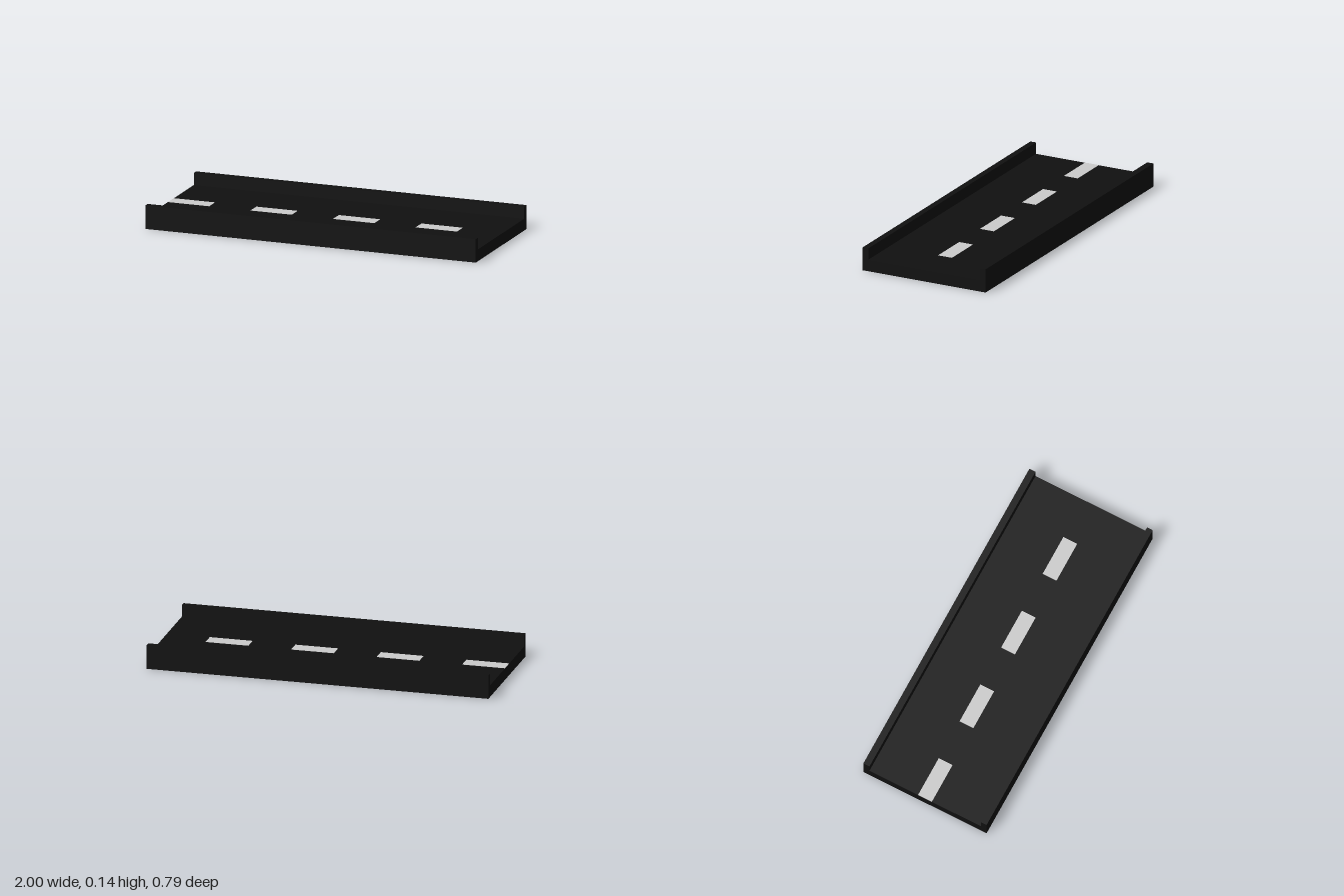
import * as THREE from 'three';

export function createModel() {
  const group = new THREE.Group();
  const asphalt = new THREE.MeshStandardMaterial({ color: 0x101010 });
  const paint = new THREE.MeshStandardMaterial({ color: 0xcccccc });

  // Box given by its extents on each axis
  function addBox(name, material, [x0, x1], [y0, y1], [z0, z1]) {
    const mesh = new THREE.Mesh(new THREE.BoxGeometry(x1 - x0, y1 - y0, z1 - z0), material);
    mesh.position.set((x0 + x1) / 2, (y0 + y1) / 2, (z0 + z1) / 2);
    mesh.name = name;
    group.add(mesh);
  }

  // Road slab between the two side walls
  addBox('roadDeck', asphalt, [-1, 1], [0, 0.069], [-0.354, 0.357]);
  addBox('frontWall', asphalt, [-1, 1], [0, 0.137], [0.357, 0.393]);
  addBox('backWall', asphalt, [-1, 1], [0, 0.139], [-0.393, -0.354]);

  // Dashed centre line, thin paint just above the deck
  for (let i = 0; i < 4; i++) {
    const x = -1 + i * 0.5;
    addBox('laneDash' + (i + 1), paint, [x, x + 0.25], [0.068, 0.07], [-0.044, 0.044]);
  }

  return group;
}
